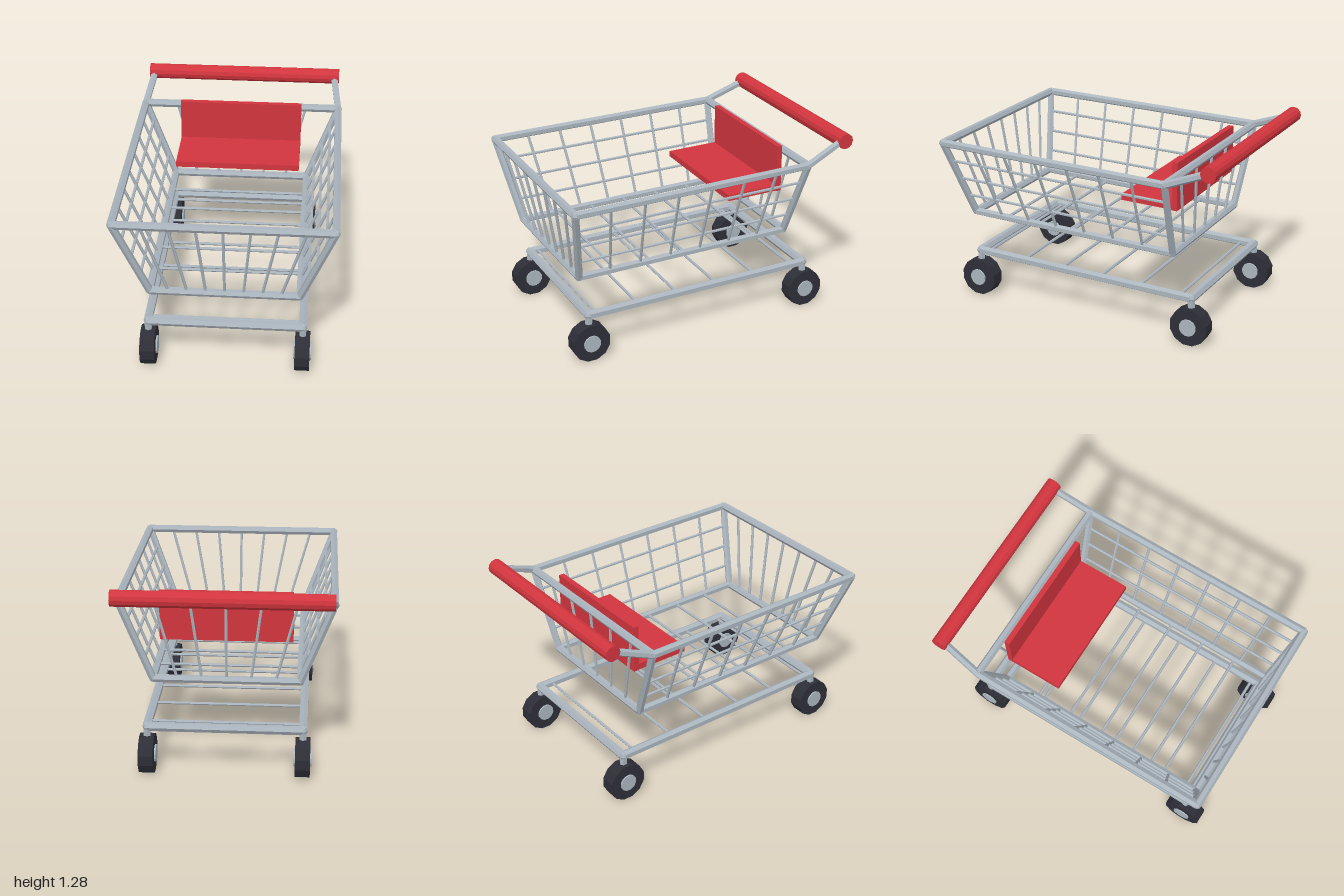
import * as THREE from 'three';

const mat = (name, color) => {
  const m = new THREE.MeshStandardMaterial({ color, flatShading: true });
  m.name = name;
  return m;
};

export function createModel() {
  const metal = mat('brushedMetal', 0xabb5be);
  const red = mat('redPlastic', 0xd2353e);
  const rubber = mat('darkRubber', 0x2e2e38);

  const cart = new THREE.Group();
  cart.name = 'shoppingCart';
  const V = (x, y, z) => new THREE.Vector3(x, y, z);
  const UP = V(0, 1, 0);

  const group = (name) => {
    const g = new THREE.Group();
    g.name = name;
    cart.add(g);
    return g;
  };
  const add = (parent, name, geometry, material, x = 0, y = 0, z = 0) => {
    const mesh = new THREE.Mesh(geometry, material);
    mesh.name = name;
    mesh.position.set(x, y, z);
    parent.add(mesh);
    return mesh;
  };
  // Straight bar between two points
  const bar = (parent, name, a, b, r, sides = 6, material = metal) => {
    const dir = b.clone().sub(a);
    const mid = a.clone().add(b).multiplyScalar(0.5);
    const mesh = add(parent, name, new THREE.CylinderGeometry(r, r, dir.length(), sides), material, mid.x, mid.y, mid.z);
    mesh.quaternion.setFromUnitVectors(UP, dir.normalize());
  };
  // Closed rectangular frame with rounded joints
  const frame = (parent, name, corners, r) => corners.forEach((c, i) => {
    bar(parent, name + 'Tube', c, corners[(i + 1) % 4], r);
    add(parent, name + 'Joint', new THREE.SphereGeometry(r, 6, 4), metal, c.x, c.y, c.z);
  });
  const rect = (x, y, front, back) => [V(-x, y, front), V(x, y, front), V(x, y, back), V(-x, y, back)];

  // Basket: two rims joined by corner posts
  const basket = group('basket');
  const top = rect(0.675, 1.112, 0.967, -0.66);
  const bottom = rect(0.47, 0.58, 0.87, -0.62);
  frame(basket, 'topRim', top, 0.027);
  frame(basket, 'bottomRim', bottom, 0.026);
  top.forEach((t, i) => bar(basket, 'cornerPost', bottom[i], t, 0.025));

  // Upright wires on each wall: front, left, back, right
  const WIRE = 0.01;
  [8, 7, 6, 7].forEach((n, i) => {
    const j = (i + 1) % 4;
    for (let k = 1; k < n; k++) {
      bar(basket, 'uprightWire', bottom[i].clone().lerp(bottom[j], k / n), top[i].clone().lerp(top[j], k / n), WIRE);
    }
  });
  // Lengthwise wires on the two sides
  for (const [f, b] of [[0, 3], [1, 2]]) {
    for (const t of [0.25, 0.5, 0.75]) {
      bar(basket, 'sideWire', bottom[f].clone().lerp(top[f], t), bottom[b].clone().lerp(top[b], t), WIRE);
    }
  }
  // Floor wires
  for (let k = 1; k < 6; k++) {
    const z = 0.87 - (1.49 * k) / 6;
    bar(basket, 'floorWire', V(-0.47, 0.58, z), V(0.47, 0.58, z), WIRE);
  }

  // Push handle on two arms
  const handle = group('handle');
  for (const s of [-1, 1]) {
    bar(handle, 'handleArm', V(s * 0.675, 1.112, -0.66), V(s * 0.64, 1.225, -0.945), 0.025);
  }
  bar(handle, 'handleGrip', V(-0.675, 1.225, -0.945), V(0.675, 1.225, -0.945), 0.052, 12, red);

  // Child seat
  const seat = group('childSeat');
  add(seat, 'seatBase', new THREE.BoxGeometry(0.84, 0.04, 0.395), red, 0, 0.869, -0.4225);
  add(seat, 'seatBack', new THREE.BoxGeometry(0.84, 0.32, 0.036), red, 0, 1.005, -0.602);

  // Lower frame with cross wires
  const base = group('lowerFrame');
  const baseCorners = rect(0.495, 0.31, 0.825, -0.77);
  frame(base, 'baseRail', baseCorners, 0.03);
  for (let k = 0; k < 6; k++) {
    const z = 0.77 - 0.29 * k;
    bar(base, 'baseWire', V(-0.495, 0.31, z), V(0.495, 0.31, z), WIRE);
  }

  // Wheels, hubs and stems under each corner
  const wheels = group('wheels');
  const disc = (r, width) => new THREE.CylinderGeometry(r, r, width, 12).rotateY(Math.PI / 12).rotateZ(Math.PI / 2);
  for (const c of baseCorners) {
    bar(wheels, 'wheelStem', V(c.x, 0.13, c.z), c, 0.025);
    add(wheels, 'tyre', disc(0.129, 0.095), rubber, c.x, 0.125, c.z);
    add(wheels, 'hub', disc(0.058, 0.116), metal, c.x, 0.125, c.z);
  }

  return cart;
}
